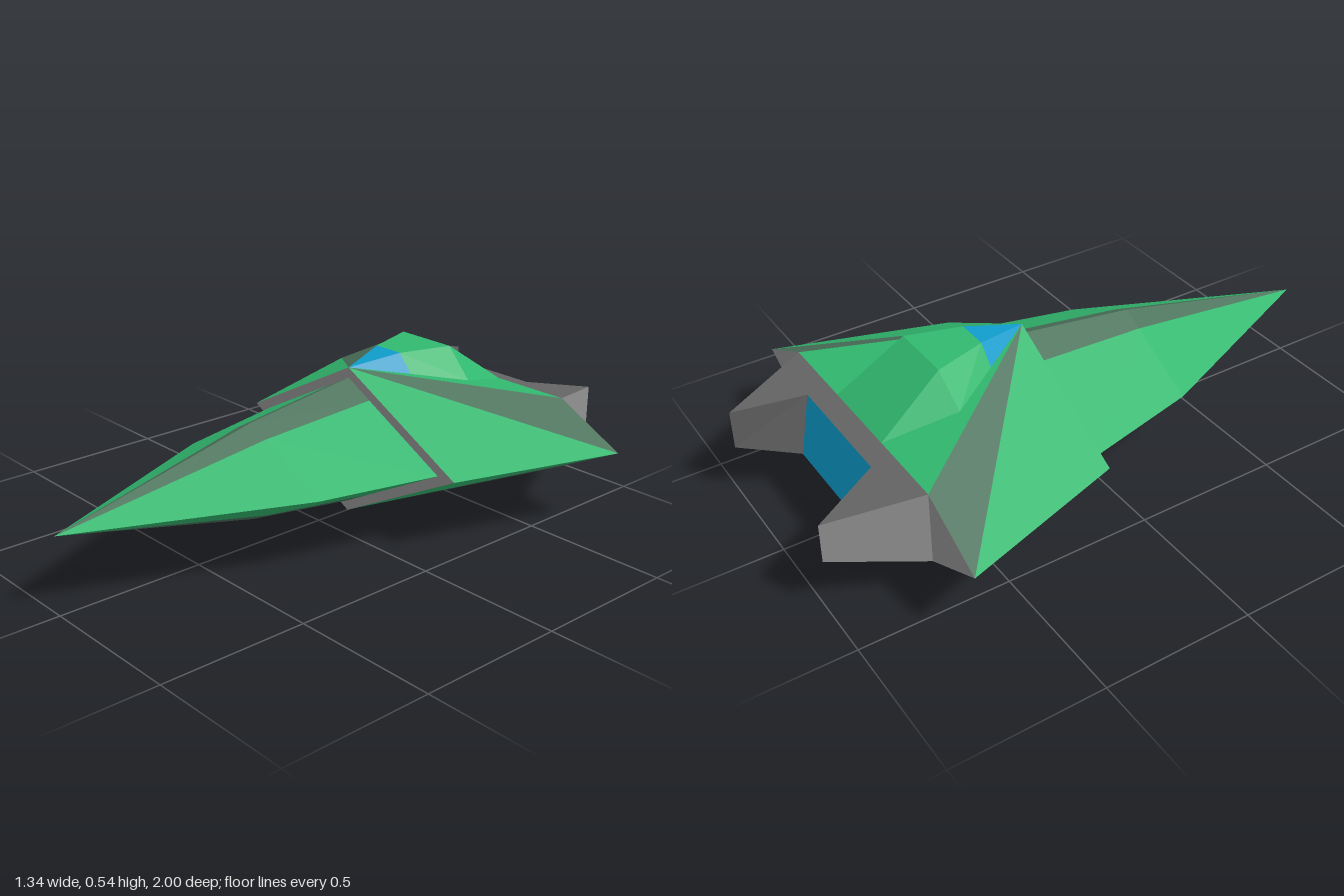
import * as THREE from 'three';

const MID = 0.26; // height of the widest line of the hull

const mat = (name, color) => {
  const m = new THREE.MeshStandardMaterial({ color });
  m.name = name;
  return m;
};

// Flat polygons, each fanned into triangles facing `out`, mirrored across x and/or the mid height
function panels(name, material, out, polys, mirrorX = true, mirrorY = false) {
  const pos = [];
  const outDir = new THREE.Vector3(...out);
  for (const sx of mirrorX ? [1, -1] : [1]) {
    for (const sy of mirrorY ? [1, -1] : [1]) {
      const dir = outDir.clone().multiply(new THREE.Vector3(sx, sy, 1));
      for (const poly of polys) {
        const p = poly.map(([x, y, z]) => new THREE.Vector3(x * sx, MID + (y - MID) * sy, z));
        for (let i = 1; i < p.length - 1; i++) {
          const t = [p[0], p[i], p[i + 1]];
          const n = t[1].clone().sub(t[0]).cross(t[2].clone().sub(t[0]));
          if (n.dot(dir) < 0) t.reverse();
          t.forEach((v) => pos.push(v.x, v.y, v.z));
        }
      }
    }
  }
  const g = new THREE.BufferGeometry();
  g.setAttribute('position', new THREE.Float32BufferAttribute(pos, 3));
  g.computeVertexNormals();
  const mesh = new THREE.Mesh(g, material);
  mesh.name = name;
  return mesh;
}

export function createModel() {
  const green = mat('hull green', 0x31b86f);
  const stripe = mat('grey green stripe', 0x4c735c);
  const light = mat('light grey', 0x929292);
  const dark = mat('dark grey', 0x646464);
  const blue = mat('glass blue', 0x0f9ccb);

  const model = new THREE.Group();
  model.name = 'spaceship';
  const group = (name, ...parts) => {
    const g = new THREE.Group();
    g.name = name;
    g.add(...parts);
    model.add(g);
  };

  // Nose: diamond sections tapering to a point, with a stripe along the ridge
  const tip = [0, MID, 1];
  const section = (z, half, peak, edge) => ({
    top: [0, peak, z],
    edge: [edge, peak - (peak - MID) * edge / half, z],
    side: [half, MID, z],
  });
  const a = section(0.28, 0.315, 0.425, 0.07);
  const b = section(-0.13, 0.415, 0.48, 0.1);
  group('nose',
    panels('noseSides', green, [1, 1, 0], [[tip, a.edge, a.side], [a.edge, b.edge, b.side, a.side]], true, true),
    panels('noseStripes', stripe, [1, 1, 0], [[tip, a.top, a.edge], [a.top, b.top, b.edge, a.edge]], true, true));

  // Rear hull: widens from a diamond front to a flat-topped back
  const apex = [0, 0.515, -0.13];
  const shoulder = [0.485, MID, -0.13];
  const wing = [0.67, MID, -0.71];
  const deck = [0.425, 0.385, -0.71];
  const deckMid = [0, 0.385, -0.71];
  group('rearHull',
    panels('hullSides', green, [1, 1, 0], [[apex, shoulder, wing]], true, true),
    panels('hullDecks', green, [0, 1, 0], [[apex, deck, deckMid]], true, true),
    panels('hullStripes', stripe, [1, 1, 0], [[apex, wing, deck]], true, true),
    panels('frontFrame', light, [0, 0, 1], [[apex, shoulder, b.side, b.top]], true, true),
    panels('wingBackCaps', light, [0, 0, -1], [[wing, deck, [0.425, MID, -0.71]]], true, true));

  // Cockpit: faceted bump with a glass front
  const glassTop = [0.055, 0.54, -0.31];
  const glassSide = [0.108, 0.48, -0.31];
  const roof = [0.11, 0.54, -0.49];
  const hip = [0.21, 0.445, -0.48];
  const tail = [0.145, 0.385, -0.71];
  const onAxis = (p) => [0, p[1], p[2]];
  group('cockpit',
    panels('glassTop', blue, [0, 1, 0], [[apex, glassTop, onAxis(glassTop)]]),
    panels('glassSides', blue, [1, 1, 0], [[apex, glassTop, glassSide]]),
    panels('cockpitRoof', green, [0, 1, 0],
      [[onAxis(glassTop), glassTop, roof, onAxis(roof)], [onAxis(roof), roof, tail, onAxis(tail)]]),
    panels('cockpitSides', green, [1, 1, 0], [[glassTop, roof, hip, glassSide], [roof, hip, tail]]));

  // Engine block: two pointed fins with a glowing panel between them
  const finTop = [0.315, 0.33, -1];
  const finLow = [0.315, 0.195, -1];
  const deckLow = [0.425, 0.135, -0.71];
  const exhaustTop = [0.213, 0.372, -0.78];
  const exhaustLow = [0.213, 0.158, -0.82];
  group('engine',
    panels('finOuterSides', light, [1, 0, 0], [[deck, finTop, finLow, deckLow]]),
    panels('finInnerSides', dark, [-1, 0, -0.5], [[exhaustTop, finTop, finLow, exhaustLow]]),
    panels('engineTop', dark, [0, 1, 0], [[exhaustTop, finTop, deck, deckMid, onAxis(exhaustTop)]]),
    panels('engineBottom', dark, [0, -1, 0],
      [[exhaustLow, finLow, deckLow, onAxis(deckLow), onAxis(exhaustLow)]]),
    panels('exhaust', blue, [0, 0, -1],
      [[onAxis(exhaustTop), exhaustTop, exhaustLow, onAxis(exhaustLow)]]));

  return model;
}
